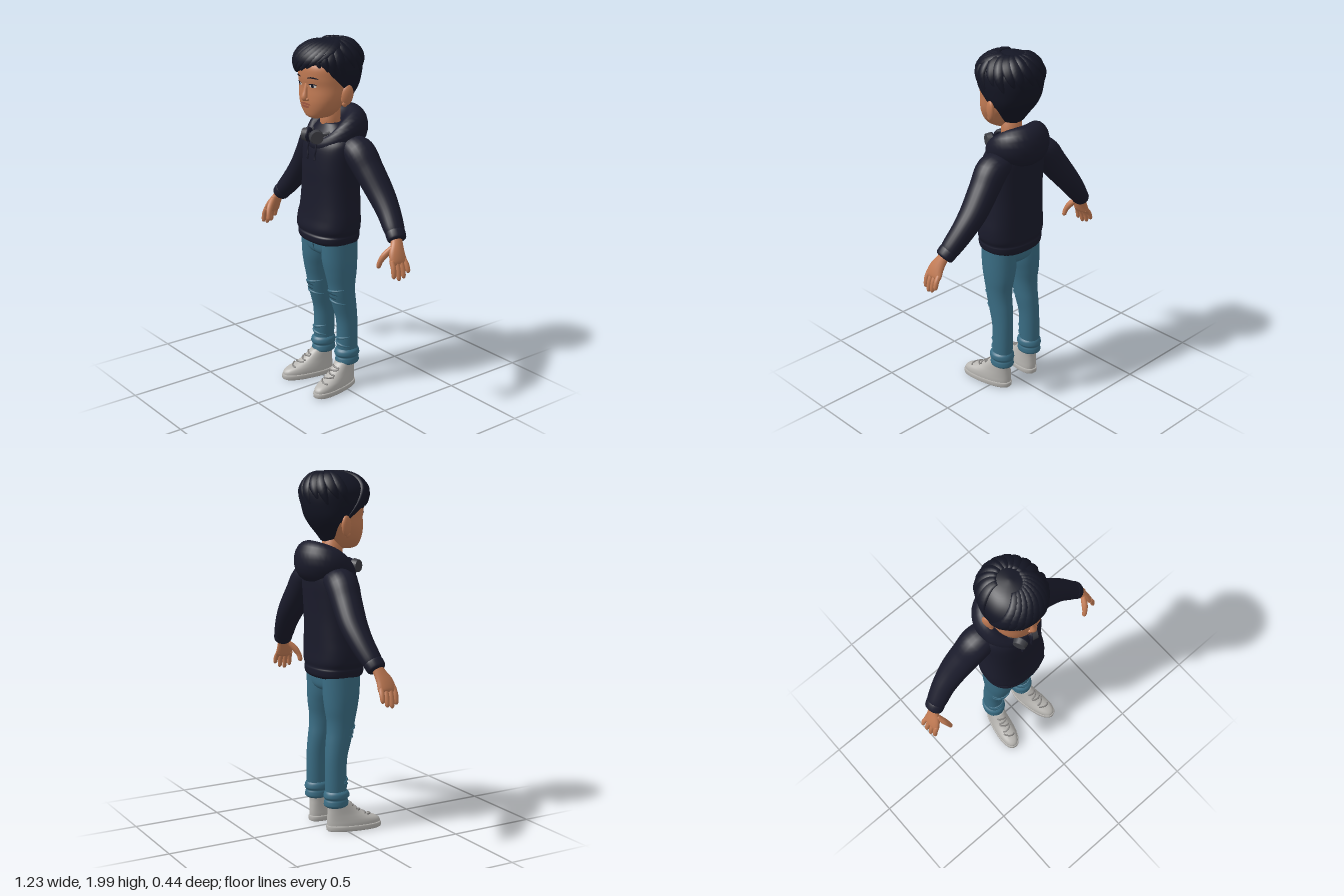
import * as THREE from 'three';

const V = (x, y, z) => new THREE.Vector3(x, y, z);
const lerp = THREE.MathUtils.lerp;
const mat = (name, color, side = THREE.FrontSide) => {
  const m = new THREE.MeshStandardMaterial({ color, side });
  m.name = name;
  return m;
};

// Catmull-Rom refinement of a table of rows
function refine(rows, k = 5) {
  const out = [];
  const at = i => rows[Math.max(0, Math.min(rows.length - 1, i))];
  for (let i = 0; i < rows.length - 1; i++)
    for (let j = 0; j < k; j++) {
      const t = j / k, [a, b, c, d] = [at(i - 1), at(i), at(i + 1), at(i + 2)];
      out.push(b.map((_, n) => b[n] + 0.5 * t * (c[n] - a[n] + t * (2 * a[n] - 5 * b[n] + 4 * c[n] - d[n]
        + t * (3 * (b[n] - c[n]) + d[n] - a[n])))));
    }
  out.push(rows[rows.length - 1].slice());
  return out;
}

// Surface through rings of points, capped at the ends or joined into a loop
function skin(rings, loop = false) {
  const n = rings[0].length, m = rings.length, pts = rings.flat(), idx = [];
  for (let i = 0; i < (loop ? m : m - 1); i++)
    for (let j = 0; j < n; j++) {
      const a = i * n + j, b = i * n + (j + 1) % n, k = ((i + 1) % m) * n;
      idx.push(a, b, k + (j + 1) % n, a, k + (j + 1) % n, k + j);
    }
  if (!loop) [[0, true], [m - 1, false]].forEach(([r, first]) => {
    const c = pts.length;
    pts.push(rings[r].reduce((s, p) => s.add(p), V(0, 0, 0)).divideScalar(n));
    for (let j = 0; j < n; j++) {
      const a = r * n + j, b = r * n + (j + 1) % n;
      first ? idx.push(c, b, a) : idx.push(c, a, b);
    }
  });
  const g = new THREE.BufferGeometry().setFromPoints(pts);
  g.setIndex(idx);
  g.computeVertexNormals();
  return g;
}

// Upright forms use rows of [y, halfWidth, frontZ, backZ, centreX]
const pw = (v, e) => Math.sign(v) * Math.abs(v) ** e;
const ringPoint = ([y, rx, zf, zb, cx = 0], a, p = 2, s = 1) =>
  V(cx + rx * s * pw(Math.sin(a), 2 / p), y, (zf + zb) / 2 + (zf - zb) / 2 * s * pw(Math.cos(a), 2 / p));
const upright = (rows, p = 2, n = 32) =>
  skin(rows.map(r => Array.from({ length: n }, (_, j) => ringPoint(r, j / n * Math.PI * 2, p))));
function lookup(rows, y) {
  let i = 0;
  while (i < rows.length - 2 && rows[i + 1][0] < y) i++;
  const a = rows[i], b = rows[i + 1];
  const t = THREE.MathUtils.clamp((y - a[0]) / (b[0] - a[0]), 0, 1);
  return a.map((v, k) => lerp(v, b[k], t));
}
function frontZ(rows, p, x, y) {
  const [, rx, zf, zb, cx = 0] = lookup(rows, y);
  const q = Math.min(1, Math.abs(x - cx) / rx);
  return (zf + zb) / 2 + (zf - zb) / 2 * (1 - q ** p) ** (1 / p);
}
// Thin patch hugging the front of an upright form; place(u, v) gives [x, y]
function patch(rows, p, off, place, n = 12) {
  const g = new THREE.PlaneGeometry(2, 2, n, n), q = g.attributes.position;
  for (let i = 0; i < q.count; i++) {
    const [x, y] = place(q.getX(i), q.getY(i));
    q.setXYZ(i, x, y, frontZ(rows, p, x, y) + off);
  }
  g.computeVertexNormals();
  return g;
}
const oval = (cx, cy, w, h, bend = 0) => (u, v) =>
  [cx + w * u, cy + h * v * Math.sqrt(Math.max(0, 1 - u * u)) + bend * (1 - u * u)];

// Tapering tube through rows of [x, y, z, radius along ref, radius across]
function tube(rows, ref = () => V(0, 0, 1), n = 14, loop = false) {
  const m = rows.length, P = rows.map(r => V(r[0], r[1], r[2]));
  return skin(rows.map((r, i) => {
    const next = loop ? P[(i + 1) % m] : P[Math.min(m - 1, i + 1)];
    const prev = loop ? P[(i + m - 1) % m] : P[Math.max(0, i - 1)];
    const t = next.clone().sub(prev).normalize(), u = ref(P[i]).clone();
    u.addScaledVector(t, -u.dot(t)).normalize();
    const v = t.clone().cross(u);
    return Array.from({ length: n }, (_, j) => {
      const a = j / n * Math.PI * 2;
      return P[i].clone().addScaledVector(u, Math.cos(a) * r[3]).addScaledVector(v, Math.sin(a) * r[4]);
    });
  }), loop);
}

export function createModel() {
  const root = new THREE.Group();
  const M = {
    hoodie: mat('navy hoodie', 0x1a1b2b), hair: mat('black hair', 0x141624, THREE.DoubleSide),
    skin: mat('skin', 0xc27b54), jeans: mat('blue denim', 0x3a6d84),
    tear: mat('dark denim', 0x2a5063, THREE.DoubleSide), shoe: mat('shoe grey', 0xb8b6b2),
    lace: mat('lace grey', 0x858381), phones: mat('headphone grey', 0x3c3d43),
    lip: mat('lips', 0xa65d47, THREE.DoubleSide), white: mat('eye white', 0xd6cdc4, THREE.DoubleSide),
  };
  const add = (name, geo, material, parent = root) => {
    const m = new THREE.Mesh(geo, material);
    m.name = name;
    parent.add(m);
    return m;
  };
  const ball = (name, x, y, z, sx, sy, sz, material) => {
    const m = add(name, new THREE.SphereGeometry(1, 20, 14), material);
    m.position.set(x, y, z);
    m.scale.set(sx, sy, sz);
    return m;
  };

  // Hoodie body, pocket and hood
  const torso = refine([[.87, .165, .125, -.125], [.885, .178, .145, -.138], [.915, .184, .15, -.142],
    [.93, .183, .142, -.138], [.96, .193, .148, -.143], [1.02, .193, .138, -.142], [1.1, .184, .13, -.143],
    [1.2, .177, .125, -.145], [1.3, .177, .122, -.15], [1.4, .18, .112, -.155], [1.45, .172, .092, -.15],
    [1.5, .125, .065, -.13], [1.54, .08, .045, -.09]]);
  add('hoodieBody', upright(torso, 2.4, 44), M.hoodie);
  const flap = patch(torso, 2.4, .008, (u, v) =>
    [u * (v < 0 ? .135 : lerp(.135, .085, v)), 1.02 + v * .085], 16);
  const pocketMat = M.hoodie.clone();
  pocketMat.side = THREE.DoubleSide;
  M.hoodie = pocketMat;
  add('pocket', flap, M.hoodie);
  root.getObjectByName('hoodieBody').material = M.hoodie;
  const hood = Array.from({ length: 40 }, (_, i) => {
    const a = i / 40 * Math.PI * 2, c = (1 - Math.cos(a)) / 2;
    return [Math.sin(a) * .12, 1.42 + .09 * Math.sin(c * Math.PI / 2), .085 - .225 * c, .035 + .078 * c, .03 + .05 * c];
  });
  add('hood', tube(hood, () => V(0, 1, 0), 18, true), M.hoodie);

  // Neck and head
  add('neck', upright([[1.44, .062, .05, -.075], [1.55, .055, .05, -.06], [1.64, .058, .05, -.06]]), M.skin);
  const head = refine([[1.572, .03, .115, .03], [1.585, .068, .138, 0], [1.62, .106, .15, -.03],
    [1.66, .129, .157, -.06], [1.7, .142, .158, -.09], [1.75, .147, .157, -.12], [1.8, .15, .165, -.14],
    [1.86, .148, .16, -.15], [1.92, .115, .11, -.12], [1.96, .05, .05, -.05]]);
  add('head', upright(head, 2.25, 40), M.skin);
  add('nose', tube(refine([[0, 1.765, .15, .01, .012], [0, 1.725, .16, .012, .013], [0, 1.69, .166, .018, .019],
    [0, 1.677, .158, .01, .016]])), M.skin);
  add('upperLip', patch(head, 2.25, .007, oval(0, 1.655, .044, .006, .003)), M.lip);
  add('lowerLip', patch(head, 2.25, .009, oval(0, 1.644, .036, .007, -.002)), M.lip);

  // Hair cap with a swept hairline
  const hairRows = refine([[1.6, .065, .03, -.05], [1.65, .105, .08, -.085], [1.7, .135, .1, -.125],
    [1.75, .156, .13, -.155], [1.8, .166, .175, -.172], [1.85, .17, .19, -.18], [1.9, .164, .184, -.176],
    [1.95, .128, .14, -.145], [1.98, .08, .08, -.1], [1.994, .01, 0, -.02]]);
  const line = [[-3.15, 1.61], [-2.1, 1.63], [-1.75, 1.72], [-1.35, 1.745], [-1.15, 1.8], [-.6, 1.815], [0, 1.845],
    [.45, 1.885], [.8, 1.87], [1.1, 1.81], [1.35, 1.745], [1.75, 1.72], [2.1, 1.63], [3.15, 1.61]];
  const hairline = a => {
    const b = a > Math.PI ? a - Math.PI * 2 : a;
    return lookup(line, b)[1] + .006 * Math.sin(b * 22) * (Math.abs(b) < 1.2 ? 1 : 0);
  };
  const hairPoint = (a, y, s = 1) => ringPoint(lookup(hairRows, y), a, 2.1, s);
  const cap = [[0, .86], ...Array.from({ length: 25 }, (_, i) => [1 - (1 - i / 24) ** 1.5, 1])];
  add('hairCap', skin(cap.map(([t, s]) => Array.from({ length: 72 }, (_, j) => {
    const a = j / 72 * Math.PI * 2;
    return hairPoint(a, lerp(hairline(a), 1.994, t), s);
  }))), M.hair);

  // Overlapping locks spiralling out from the crown
  const lock = (a1, yEnd, swirl, r) => {
    const rows = Array.from({ length: 14 }, (_, i) => {
      const t = i / 13, p = hairPoint(a1 + swirl * (1 - t), lerp(1.985, yEnd, t ** 1.5), .99);
      const w = .003 + r * Math.sin(Math.PI * (.12 + .86 * t)) ** .8;
      return [p.x, p.y, p.z, w * .5, w];
    });
    add('hairLock', tube(rows, p => p.clone().sub(V(0, 1.8, 0)), 8), M.hair);
  };
  for (let i = 0; i < 9; i++) lock(-1.45 + i * .24, hairline(-1.45 + i * .24) - .004, 1.1, .032);
  for (let i = 0; i < 11; i++) lock(1.5 + i * .32, 1.82 + .03 * (i % 2), -.5, .028);
  for (let i = 0; i < 4; i++) lock(.7 + i * .25, 1.86 - i * .02, -.4, .024);

  // Headband resting behind the neck
  add('headband', tube(Array.from({ length: 21 }, (_, i) => {
    const a = lerp(.55, Math.PI * 2 - .55, i / 20);
    return [Math.sin(a) * .085, 1.5 - .02 * Math.cos(a), Math.cos(a) * .095, .012, .008];
  }), () => V(0, 1, 0), 10), M.phones);

  for (const s of [1, -1]) {
    // Face details and ear
    add('eyeWhite', patch(head, 2.25, .003, oval(s * .056, 1.757, .023, .009)), M.white);
    add('iris', patch(head, 2.25, .005, oval(s * .056, 1.757, .009, .009)), M.hair);
    add('lashLine', patch(head, 2.25, .006, oval(s * .057, 1.763, .027, .0028, .005)), M.hair);
    add('eyebrow', patch(head, 2.25, .005, oval(s * .06, 1.797, .034, .004, .006)), M.hair);
    ball('nostril', s * .016, 1.682, .158, .011, .009, .012, M.skin);
    ball('ear', s * .15, 1.705, -.003, .018, .057, .034, M.skin).rotation.set(-.15, s * -.35, s * -.12);
    ball('earLobe', s * .143, 1.66, .008, .012, .018, .016, M.skin);

    // Headphone cup and drawstring
    const cup = add('headphoneCup', new THREE.CylinderGeometry(.034, .04, .03, 24), M.phones);
    cup.position.set(s * .048, 1.475, .122);
    cup.rotation.set(0, s * -.45, s * -Math.PI / 2);
    add('headphonePad', new THREE.TorusGeometry(.028, .012, 10, 24).rotateX(Math.PI / 2).translate(0, -.016, 0), M.hoodie, cup);
    add('drawstring', tube(refine([[s * .03, 1.45, .112, .005, .005], [s * .036, 1.4, .121, .005, .005],
      [s * .03, 1.37, .124, .005, .005], [s * .032, 1.345, .126, .007, .007]]), undefined, 8), M.hoodie);

    // Sleeve and ribbed cuff
    add('sleeve', tube(refine([[s * .1, 1.425, -.052, .075, .055], [s * .19, 1.395, -.055, .09, .083],
      [s * .26, 1.31, -.065, .084, .079], [s * .345, 1.205, -.075, .077, .07], [s * .42, 1.12, -.07, .066, .062],
      [s * .485, 1.045, -.054, .058, .053], [s * .51, 1.018, -.046, .051, .045]]), undefined, 22), M.hoodie);
    add('cuff', tube(refine([[s * .492, 1.038, -.052, .046, .042], [s * .502, 1.027, -.049, .055, .049],
      [s * .525, 1.0, -.042, .053, .047], [s * .532, .992, -.04, .044, .038]]), undefined, 20), M.hoodie);

    // Hand: palm, thumb and four fingers
    add('palm', tube(refine([[s * .518, 1.01, -.042, .032, .027], [s * .54, .975, -.03, .036, .024],
      [s * .562, .93, -.014, .05, .023], [s * .578, .893, -.01, .055, .019], [s * .583, .88, -.01, .045, .01]])), M.skin);
    add('thumb', tube(refine([[s * .542, .965, .0, .016, .014], [s * .525, .928, .036, .019, .017],
      [s * .511, .893, .056, .015, .014], [s * .503, .862, .062, .013, .012], [s * .501, .852, .063, .005, .005]])), M.skin);
    [.034, .006, -.023, -.051].forEach((z, i) => {
      const len = [.085, .1, .092, .068][i], out = [.008, .014, .016, .018][i];
      add('finger', tube(refine([[s * .572, .905, z * .9, .014, .015], [s * (.586 + out * .5), .905 - len * .45, z, .014, .014],
        [s * (.588 + out), .907 - len * .95, z * 1.04, .012, .012], [s * (.586 + out), .9 - len, z * 1.04, .005, .005]]),
        undefined, 10), M.skin);
    });

    // Trouser leg with rolled cuff and torn knee
    const leg = refine([[.14, .05, .012, -.1, s * .11], [.25, .054, .018, -.106, s * .109], [.4, .055, .02, -.105, s * .106],
      [.5, .061, .045, -.098, s * .102], [.57, .064, .064, -.09, s * .101], [.63, .068, .074, -.09, s * .1],
      [.7, .077, .09, -.1, s * .097], [.78, .086, .104, -.106, s * .091], [.9, .086, .11, -.108, s * .09]]);
    add('trouserLeg', upright(leg, 2.1, 28), M.jeans);
    add('rolledCuff', upright(refine([[.142, .053, .018, -.102, s * .11], [.152, .062, .03, -.114, s * .11],
      [.175, .061, .026, -.112, s * .11], [.187, .058, .022, -.108, s * .11], [.2, .066, .034, -.116, s * .11],
      [.222, .064, .03, -.112, s * .11], [.235, .053, .018, -.104, s * .109]]), 2, 28), M.jeans);
    for (const [y, w] of [[.575, .038], [.55, .03]])
      add('kneeTear', patch(leg, 2.1, .004, oval(s * .105, y, w, .005, .006)), M.tear);
    for (const [y, tilt] of [[.595, .012], [.53, -.01], [.3, .012], [.265, -.01]])
      add('fold', tube(Array.from({ length: 9 }, (_, i) => {
        const a = lerp(-1.2, 1.2, i / 8), q = ringPoint(lookup(leg, y + tilt * a), a, 2.1), w = .002 + .006 * Math.sin(Math.PI * i / 8);
        return [q.x, q.y, q.z, w, w];
      }), () => V(0, 1, 0), 8), M.jeans);

    // Shoe turned slightly outward
    const shoe = new THREE.Group();
    shoe.name = 'shoe';
    shoe.position.set(s * .113, 0, -.008);
    shoe.rotation.y = s * .2;
    root.add(shoe);
    const upper = refine([[.026, .058, .226, -.084], [.045, .058, .224, -.085], [.062, .056, .205, -.085],
      [.08, .053, .16, -.084], [.1, .05, .115, -.083], [.125, .048, .078, -.082], [.16, .046, .04, -.084]]);
    add('shoeUpper', upright(upper, 2.3), M.shoe, shoe);
    add('sole', upright([[0, .056, .222, -.084], [.005, .061, .231, -.089], [.026, .062, .232, -.09],
      [.032, .058, .226, -.086]], 2.4), M.shoe, shoe);
    for (let i = 0; i < 5; i++) {
      const y = .078 + i * .015, w = .03 - i * .001;
      add('lace', tube(Array.from({ length: 7 }, (_, j) => {
        const x = lerp(-w, w, j / 6), yy = y + (i % 2 ? 1 : -1) * x * .15;
        return [x, yy, frontZ(upper, 2.3, x, yy) + .002, .005, .005];
      }), () => V(0, 1, 0), 8), M.lace, shoe);
    }
  }

  // Trouser seat joining the legs
  add('trouserSeat', upright(refine([[.785, .05, .05, -.06], [.8, .1, .085, -.09], [.83, .165, .108, -.106],
    [.9, .174, .116, -.112]]), 2.4), M.jeans);
  add('flySeam', tube([[0, .885, .114, .003, .004], [0, .85, .112, .003, .004], [0, .815, .1, .003, .004]], undefined, 8), M.tear);
  return root;
}
